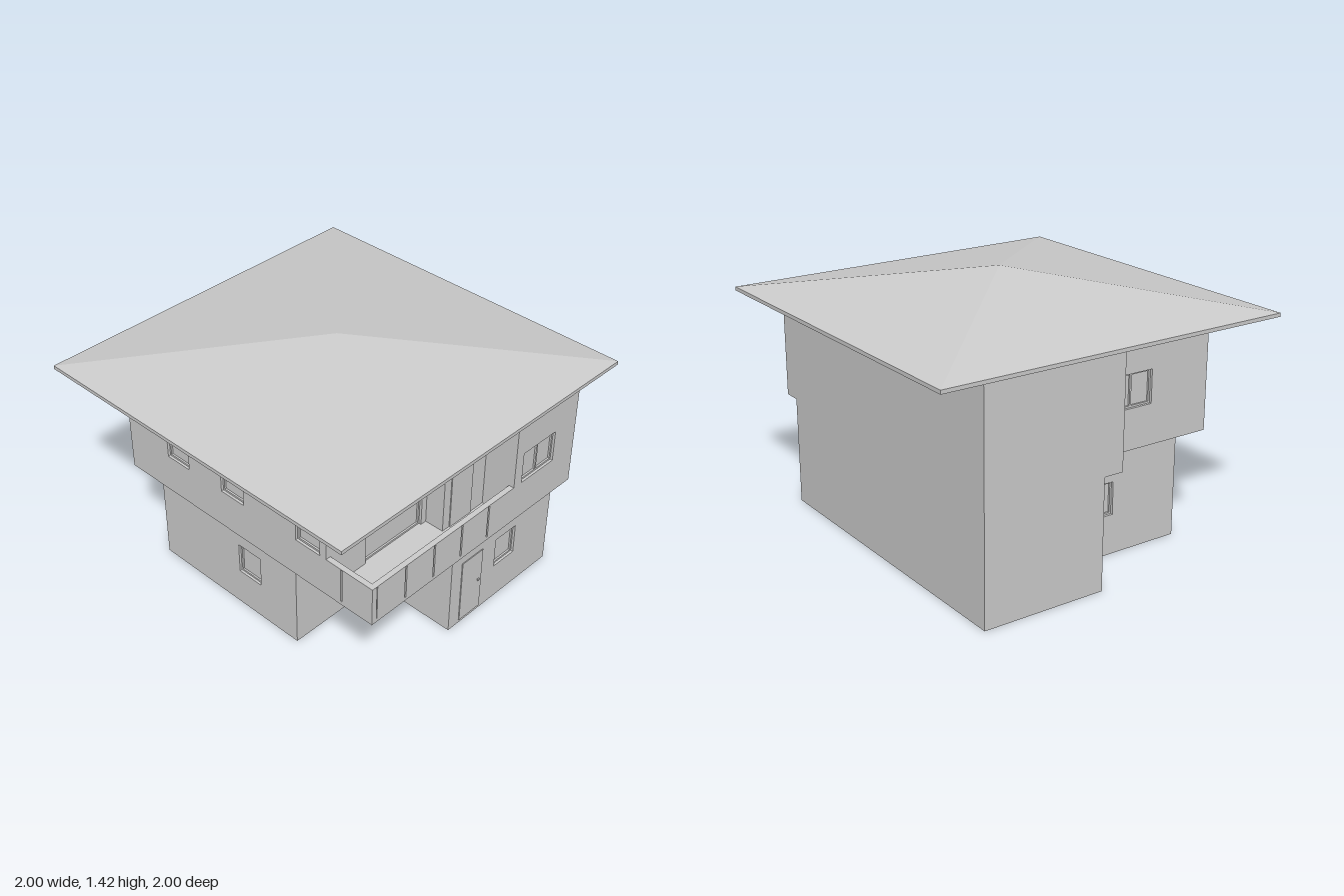
import * as THREE from 'three';

const plaster = new THREE.MeshStandardMaterial({ color: 0xcccccc });
plaster.name = 'plain grey';

const DEPTH = 0.03; // wall thickness

// floor plans as [x, z]; walking along an edge, the outside is on its right-facing side
const groundPlan = [[0.75, 0.855], [0.75, -0.955], [0.06, -0.955], [0.06, -0.66],
  [-0.65, -0.66], [-0.65, 0.35], [-0.05, 0.35], [-0.05, 0.855]];
const upperPlan = [[0.75, 0.955], [0.75, -0.955], [-0.05, -0.955], [-0.05, -0.76], [-0.75, -0.76],
  [-0.75, 0.66], [-0.04, 0.66], [-0.04, 0.77], [0.27, 0.77], [0.27, 0.955]];
const slabPlan = [...upperPlan.slice(0, 5), [-0.75, 0.955]];

// openings per wall index: from, to (world coordinate along the wall), bottom, top, panes
const groundOpenings = {
  3: [[-0.24, -0.08, 0.22, 0.40, 1]],
  4: [[-0.07, 0.09, 0.22, 0.40, 1]],
  5: [[-0.44, -0.20, 0.22, 0.40, 2]],
  7: [[0.30, 0.46, 0.22, 0.40, 1]],
};
const upperOpenings = {
  3: [[-0.385, -0.135, 0.82, 1.0, 2]],
  4: [-0.46, -0.06, 0.46].map((z) => [z, z + 0.16, 0.82, 1.0, 1]),
  5: [[-0.48, -0.075, 0.62, 1.02, 1]],
  9: [[0.33, 0.58, 0.82, 1.0, 2]],
};

// height of the middle of the roof shell, where the upper walls end
const roofY = (x, z) => 1.23 + 0.18 * (1 - Math.max(Math.abs(x), Math.abs(z)));

function box(parent, name, w, h, d, x, y, z) {
  const mesh = new THREE.Mesh(new THREE.BoxGeometry(w, h, d), plaster);
  mesh.name = name;
  mesh.position.set(x, y, z);
  parent.add(mesh);
}

// one wall from a to b with recessed openings; topAt gives its height at (x, z)
function wall(name, a, b, y0, topAt, openings = []) {
  const group = new THREE.Group();
  group.name = name;
  const dx = b[0] - a[0], dz = b[1] - a[1], len = Math.hypot(dx, dz);
  const axis = Math.abs(dx) > Math.abs(dz) ? 0 : 1;
  const dir = Math.sign(b[axis] - a[axis]);
  const fixed = Math.abs(a[1 - axis]);

  // outline, with extra corners where the roof hips cross the wall
  const stops = [0, len];
  for (const c of [-fixed, fixed]) {
    const u = (c - a[axis]) * dir;
    if (u > 0.001 && u < len - 0.001) stops.push(u);
  }
  stops.sort((p, q) => q - p);
  const shape = new THREE.Shape();
  shape.moveTo(0, y0).lineTo(len, y0);
  for (const u of stops) shape.lineTo(u, topAt(a[0] + dx * u / len, a[1] + dz * u / len));
  shape.closePath();

  for (const [from, to, low, high, panes] of openings) {
    const u0 = Math.min((from - a[axis]) * dir, (to - a[axis]) * dir);
    const w = Math.abs(to - from), h = high - low, mid = (low + high) / 2;
    const hole = new THREE.Path();
    hole.moveTo(u0, low).lineTo(u0, high).lineTo(u0 + w, high).lineTo(u0 + w, low).closePath();
    shape.holes.push(hole);
    box(group, 'pane', w + 0.004, h + 0.004, 0.004, u0 + w / 2, mid, -0.026);
    if (!panes) continue;
    // sash: uprights between the panes, rails above and below
    for (let i = 0; i <= panes; i++) {
      const x = u0 + 0.005 + (w - 0.01) * i / panes;
      box(group, 'windowUpright', 0.01, h, 0.012, x, mid, -0.02);
    }
    for (const y of [low + 0.005, high - 0.005]) {
      box(group, 'windowRail', w, 0.01, 0.012, u0 + w / 2, y, -0.02);
    }
  }

  const geometry = new THREE.ExtrudeGeometry(shape, { depth: DEPTH, bevelEnabled: false });
  geometry.translate(0, 0, -DEPTH);
  const panel = new THREE.Mesh(geometry, plaster);
  panel.name = 'wallPanel';
  group.add(panel);
  group.position.set(a[0], 0, a[1]);
  group.rotation.y = Math.atan2(-dz, dx);
  return group;
}

function storey(name, plan, y0, topAt, openings) {
  const group = new THREE.Group();
  group.name = name;
  plan.forEach((p, i) => {
    group.add(wall('wall', p, plan[(i + 1) % plan.length], y0, topAt, openings[i]));
  });
  return group;
}

function slab(name, plan, y, thickness) {
  const shape = new THREE.Shape(plan.map(([x, z]) => new THREE.Vector2(x, z)));
  const geometry = new THREE.ExtrudeGeometry(shape, { depth: thickness, bevelEnabled: false });
  geometry.rotateX(Math.PI / 2).translate(0, y + thickness, 0);
  const mesh = new THREE.Mesh(geometry, plaster);
  mesh.name = name;
  return mesh;
}

export function createModel() {
  const house = new THREE.Group();
  house.name = 'house';

  // storeys and floors
  house.add(slab('groundFloor', groundPlan, 0, 0.02));
  house.add(storey('groundStorey', groundPlan, 0, () => 0.6, groundOpenings));
  house.add(slab('upperFloor', slabPlan, 0.6, 0.02));
  house.add(storey('upperStorey', upperPlan, 0.6, roofY, upperOpenings));

  // balcony parapet with narrow upright slots
  const slot = (c) => [c - 0.005, c + 0.005, 0.62, 0.816, 0];
  const balcony = new THREE.Group();
  balcony.name = 'balcony';
  balcony.add(wall('frontParapet', [-0.75, 0.955], [0.27, 0.955], 0.6, () => 0.82,
    [-0.72, -0.52, -0.32, -0.12, 0.08].map(slot)));
  balcony.add(wall('sideParapet', [-0.75, 0.66], [-0.75, 0.955], 0.6, () => 0.82, [slot(0.76)]));
  house.add(balcony);

  // doors
  box(house, 'frontDoor', 0.16, 0.39, 0.008, 0.11, 0.215, 0.856);
  box(house, 'doorKnob', 0.012, 0.012, 0.012, 0.165, 0.22, 0.86);
  box(house, 'balconyDoor', 0.16, 0.40, 0.008, 0.09, 0.82, 0.771);

  // hollow hipped roof shell with a thin eave
  const r = Math.SQRT2;
  const profile = [[0, 1.40], [r, 1.22], [r, 1.24], [0, 1.42]].map(([x, y]) => new THREE.Vector2(x, y));
  const roofGeometry = new THREE.LatheGeometry(profile, 4, Math.PI / 4).toNonIndexed();
  roofGeometry.computeVertexNormals();
  const roof = new THREE.Mesh(roofGeometry, plaster);
  roof.name = 'roof';
  house.add(roof);

  return house;
}
